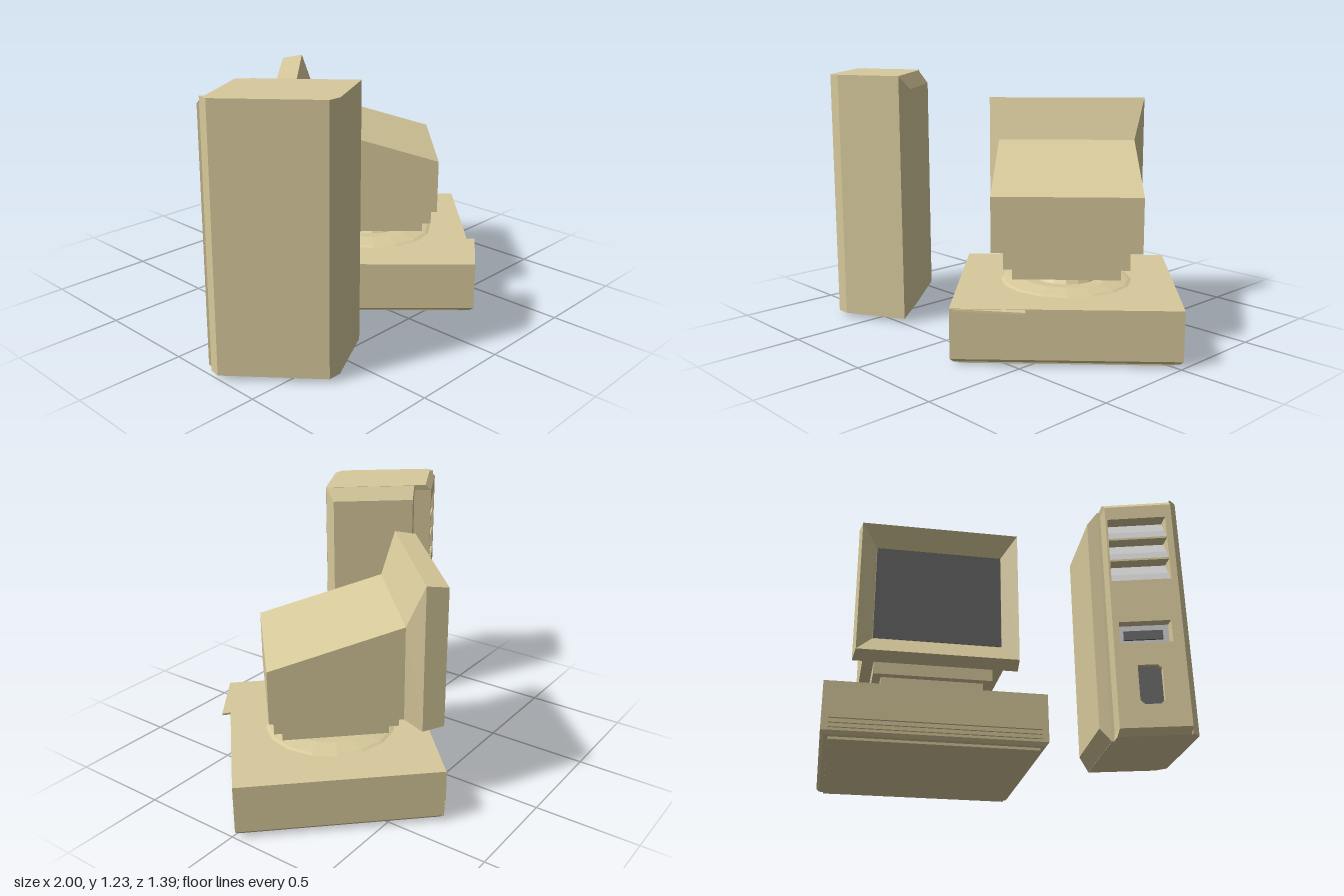
import * as THREE from 'three';

const beige = new THREE.MeshStandardMaterial({ color: 0xd8ca9c, flatShading: true });
const dark = new THREE.MeshStandardMaterial({ color: 0x666666, flatShading: true });
const grey = new THREE.MeshStandardMaterial({ color: 0xcccccc, flatShading: true });

// Skin closed rings of [x, y, z] corners, capped at both ends.
// Rings run counter-clockwise seen from the end they advance towards.
function loft(rings) {
  const pos = [];
  const tri = (...pts) => pts.forEach(p => pos.push(...p));
  const n = rings[0].length;
  for (let r = 0; r < rings.length - 1; r++) {
    const a = rings[r], b = rings[r + 1];
    for (let i = 0; i < n; i++) {
      const j = (i + 1) % n;
      tri(a[i], a[j], b[j]);
      tri(a[i], b[j], b[i]);
    }
  }
  const first = rings[0], last = rings[rings.length - 1];
  for (let i = 1; i < n - 1; i++) {
    tri(first[0], first[i + 1], first[i]);
    tri(last[0], last[i], last[i + 1]);
  }
  const g = new THREE.BufferGeometry();
  g.setAttribute('position', new THREE.Float32BufferAttribute(pos, 3));
  g.computeVertexNormals();
  return g;
}

// Rectangular rings across z, x (advancing to -x) and y
const ringZ = (z, x0, x1, y0, y1) => [[x0, y0, z], [x1, y0, z], [x1, y1, z], [x0, y1, z]];
const ringX = (x, z0, z1, y0, y1) => [[x, y0, z0], [x, y0, z1], [x, y1, z1], [x, y1, z0]];
const ringY = (y, x0, x1, z0, z1) => [[x0, y, z1], [x1, y, z1], [x1, y, z0], [x0, y, z0]];

function box(x0, x1, y0, y1, z0, z1) {
  return new THREE.BoxGeometry(x1 - x0, y1 - y0, z1 - z0)
    .translate((x0 + x1) / 2, (y0 + y1) / 2, (z0 + z1) / 2);
}

// Plan outline given as [x, z], raised from y0 to y1
function prism(plan, y0, y1) {
  const shape = new THREE.Shape(plan.map(([x, z]) => new THREE.Vector2(x, -z)));
  return new THREE.ExtrudeGeometry(shape, { depth: y1 - y0, bevelEnabled: false })
    .rotateX(-Math.PI / 2).translate(0, y0, 0);
}

function add(group, name, geometry, material = beige) {
  const mesh = new THREE.Mesh(geometry, material);
  mesh.name = name;
  group.add(mesh);
  return mesh;
}

function desktopCase() {
  const g = new THREE.Group();
  g.name = 'desktopCase';
  const level = (y, inset) => ringY(y, -0.513 + inset, 0.513 - inset, -0.474 + inset, 0.474 - inset);
  add(g, 'caseBody', loft([level(0, 0.035), level(0.012, 0.035), level(0.014, 0.015), level(0.03, 0), level(0.262, 0)]));
  add(g, 'frontPanel', box(-0.48, 0.48, 0.085, 0.235, 0.46, 0.487));
  for (const y of [0.042, 0.063]) add(g, 'frontTrim', box(-0.48, 0.48, y, y + 0.013, 0.46, 0.485));
  // Thin lip along the rear edge
  add(g, 'rearLip', prism([[0.51, -0.473], [0.184, -0.46], [0.176, -0.515]], 0.25, 0.26));
  return g;
}

function monitor() {
  const g = new THREE.Group();
  g.name = 'monitor';
  // Shell: tapered back, flared bezel, then inwards to the screen
  add(g, 'monitorShell', loft([
    ringZ(-0.298, -0.342, 0.342, 0.468, 0.725),
    ringZ(0.312, -0.34, 0.34, 0.445, 0.9),
    ringZ(0.388, -0.392, 0.392, 0.405, 1.105),
    ringZ(0.49, -0.38, 0.38, 0.42, 1.09),
    ringZ(0.44, -0.305, 0.305, 0.5, 0.985),
  ]));
  add(g, 'screen', box(-0.303, 0.303, 0.502, 0.983, 0.43, 0.443), dark);
  // Stepped swivel stand
  const stand = new THREE.Group();
  stand.name = 'swivelStand';
  stand.position.z = 0.012;
  add(stand, 'upperStep', box(-0.287, 0.287, 0.385, 0.47, -0.287, 0.287));
  add(stand, 'lowerStep', box(-0.248, 0.248, 0.328, 0.39, -0.248, 0.248));
  const profile = [[0, 0.26], [0.32, 0.26], [0.3, 0.268], [0.22, 0.282], [0.155, 0.278], [0.14, 0.3], [0.155, 0.318], [0.155, 0.332], [0, 0.332]];
  add(stand, 'swivel', new THREE.LatheGeometry(profile.map(p => new THREE.Vector2(...p)), 16));
  g.add(stand);
  return g;
}

function tower() {
  const g = new THREE.Group();
  g.name = 'tower';
  // Main body
  add(g, 'towerBody', prism([[-0.175, -0.09], [-0.175, -0.56], [0.15, -0.56], [0.2, -0.53],
    [0.2, -0.052], [0.16, -0.01], [0.16, -0.09]], 0.02, 1.23));
  // Raised side cover with bevelled rim
  add(g, 'sideCover', loft([
    ringX(-0.174, -0.56, -0.09, 0.02, 1.23),
    ringX(-0.226, -0.512, -0.092, 0.085, 1.165),
  ]));
  // Front panel with openings
  const rect = (x0, x1, y0, y1) => [[x0, y0], [x1, y0], [x1, y1], [x0, y1]].map(p => new THREE.Vector2(...p));
  const face = new THREE.Shape(rect(-0.16, 0.16, 0.05, 1.2));
  face.holes.push(new THREE.Path(rect(-0.15, 0.13, 0.78, 1.13)));
  face.holes.push(new THREE.Path(rect(-0.13, 0.11, 0.46, 0.57)));
  const button = [[-0.06, 0.18], [-0.04, 0.16], [0.03, 0.16], [0.05, 0.18], [0.05, 0.33], [0.03, 0.35], [-0.06, 0.35]]
    .map(p => new THREE.Vector2(...p));
  face.holes.push(new THREE.Path(button));
  add(g, 'frontPanel', new THREE.ExtrudeGeometry(face, { depth: 0.09, bevelEnabled: false }).translate(0, 0, -0.09));
  add(g, 'topBevel', loft([ringY(1.2, -0.16, 0.16, -0.09, 0), ringY(1.23, -0.165, 0.165, -0.09, -0.03)]));
  add(g, 'bottomBevel', loft([ringY(0.02, -0.165, 0.165, -0.09, -0.03), ringY(0.05, -0.16, 0.16, -0.09, 0)]));
  // Drive bays: covers leaning back into the opening
  for (let i = 0; i < 3; i++) {
    const y = 0.78 + i * 0.1167;
    add(g, 'bayCover', loft([
      ringY(y + 0.01, -0.15, 0.13, -0.09, -0.012),
      ringY(y + 0.055, -0.15, 0.13, -0.09, -0.03),
      ringY(y + 0.1167, -0.15, 0.13, -0.09, -0.07),
    ]), grey);
    add(g, 'bayLedge', box(-0.15, 0.13, y, y + 0.01, -0.09, -0.004));
  }
  // Disk drive and power button
  add(g, 'driveFace', box(-0.13, 0.11, 0.46, 0.57, -0.09, -0.05), grey);
  add(g, 'driveSlot', box(-0.1, 0.08, 0.495, 0.54, -0.09, -0.04), dark);
  add(g, 'powerButton', new THREE.ExtrudeGeometry(new THREE.Shape(button), { depth: 0.07, bevelEnabled: false })
    .translate(0, 0, -0.09), dark);
  // Set the slightly skewed tower in place
  const place = new THREE.Matrix4().set(
    -0.88, 0, -0.65, -0.86,
    0, 1, 0, 0,
    0.47, 0, -0.76, 0.145,
    0, 0, 0, 1);
  g.children.forEach(m => m.geometry.applyMatrix4(place));
  return g;
}

export function createModel() {
  const model = new THREE.Group();
  model.name = 'desktopComputers';
  const workstation = new THREE.Group();
  workstation.name = 'workstation';
  workstation.add(desktopCase(), monitor());
  workstation.position.set(0.3, 0, -0.005);
  workstation.rotation.y = Math.atan2(-0.69, -0.72);
  model.add(workstation, tower());
  return model;
}
